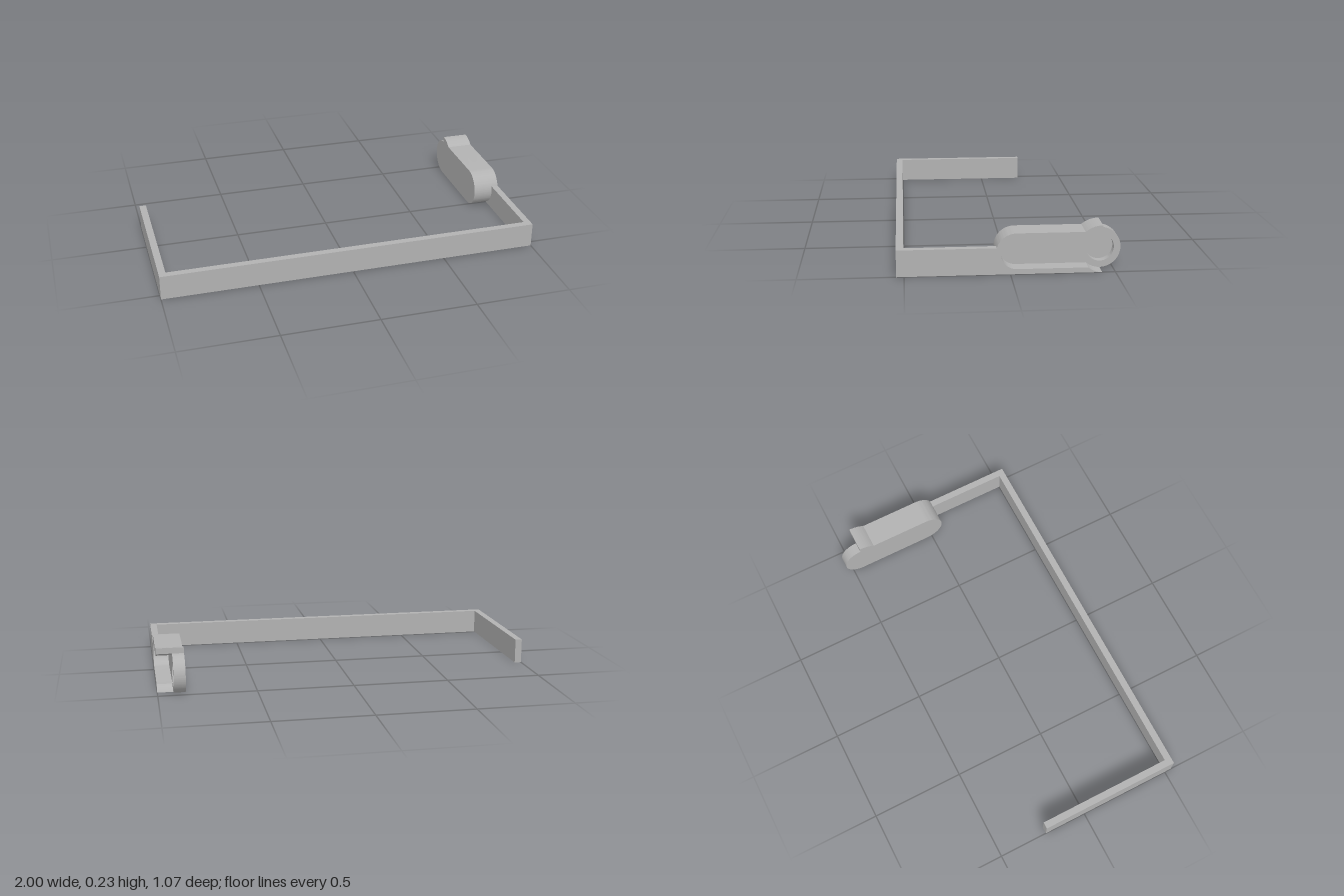
import * as THREE from 'three';
import { toCreasedNormals } from 'three/addons/utils/BufferGeometryUtils.js';

const PI = Math.PI;
const FRONT = 0.537, BAR = 0.036, HEIGHT = 0.13;
const NEAR = 0.03, FAR = 0.437, MID = 0.1, R = 0.1, POCKET_R = 0.075, LIP_R = 0.13;
const LIP_RUN = Math.sqrt(LIP_R * LIP_R - R * R);
const NOTCH = Math.asin(POCKET_R / R);

export function createModel() {
  const model = new THREE.Group();
  const grey = new THREE.MeshStandardMaterial({ color: 0xb2b2b2 });
  grey.name = 'grey';

  const add = (parent, name, geometry) => {
    const mesh = new THREE.Mesh(geometry, grey);
    mesh.name = name;
    parent.add(mesh);
    return mesh;
  };

  // Extrudes a side profile (drawn as -z, y) from x0 to x1
  const side = (parent, name, shape, x0, x1) => {
    const g = new THREE.ExtrudeGeometry(shape, { depth: x1 - x0, bevelEnabled: false, curveSegments: 32 });
    g.rotateY(PI / 2).translate(x0, 0, 0);
    return add(parent, name, toCreasedNormals(g, 0.5));
  };

  // Frame: front bar and plain arm
  const frame = new THREE.Group();
  frame.name = 'frame';
  add(frame, 'frontBar', new THREE.BoxGeometry(2, HEIGHT, BAR).translate(0, HEIGHT / 2, FRONT - BAR / 2));
  const armLength = FRONT - BAR + 0.233;
  add(frame, 'rightArm', new THREE.BoxGeometry(BAR, HEIGHT, armLength)
    .translate(-1 + BAR / 2, HEIGHT / 2, FRONT - BAR - armLength / 2));

  // Arm that runs into the rounded end of the holder
  const arm = new THREE.Shape();
  arm.moveTo(BAR - FRONT, 0);
  arm.lineTo(NEAR, 0);
  arm.absarc(NEAR, MID, R, -PI / 2, -PI - Math.asin((HEIGHT - MID) / R), true);
  arm.lineTo(BAR - FRONT, HEIGHT);
  arm.closePath();
  side(frame, 'leftArm', arm, 1 - BAR, 1);

  // Holder: solid back, then a plate with the round socket
  const holder = new THREE.Group();
  holder.name = 'holder';
  const stadium = () => {
    const s = new THREE.Shape();
    s.absarc(FAR, MID, R, -PI / 2, PI / 2, false);
    s.absarc(NEAR, MID, R, PI / 2, 1.5 * PI, false);
    s.closePath();
    return s;
  };
  side(holder, 'backPlate', stadium(), 0.86, 0.88);
  const socket = stadium();
  socket.holes.push(new THREE.Path().absarc(FAR, MID, 0.068, 0, 2 * PI, true));
  side(holder, 'socketPlate', socket, 0.88, 0.92);

  // Wall around the pocket, open at the far end, with a raised lip
  const lipStart = Math.atan2(R, -LIP_RUN);
  const wall = new THREE.Shape();
  wall.moveTo(FAR, 0);
  wall.lineTo(NEAR, 0);
  wall.absarc(NEAR, MID, R, -PI / 2, -1.5 * PI, true);
  wall.absarc(FAR, MID, LIP_R, lipStart, PI / 2, true);
  wall.absarc(FAR, MID, R, PI / 2, PI - NOTCH, false);
  wall.absarc(NEAR, MID, POCKET_R, PI / 2, 1.5 * PI, false);
  wall.absarc(FAR, MID, R, PI + NOTCH, 1.5 * PI, false);
  side(holder, 'pocketWall', wall, 0.92, 1);

  // Lip continued across the plates
  const lip = new THREE.Shape();
  lip.absarc(FAR, MID, LIP_R, lipStart, PI / 2, true);
  lip.lineTo(FAR, MID + R);
  lip.closePath();
  side(holder, 'lip', lip, 0.86, 0.92);

  model.add(frame, holder);
  return model;
}
